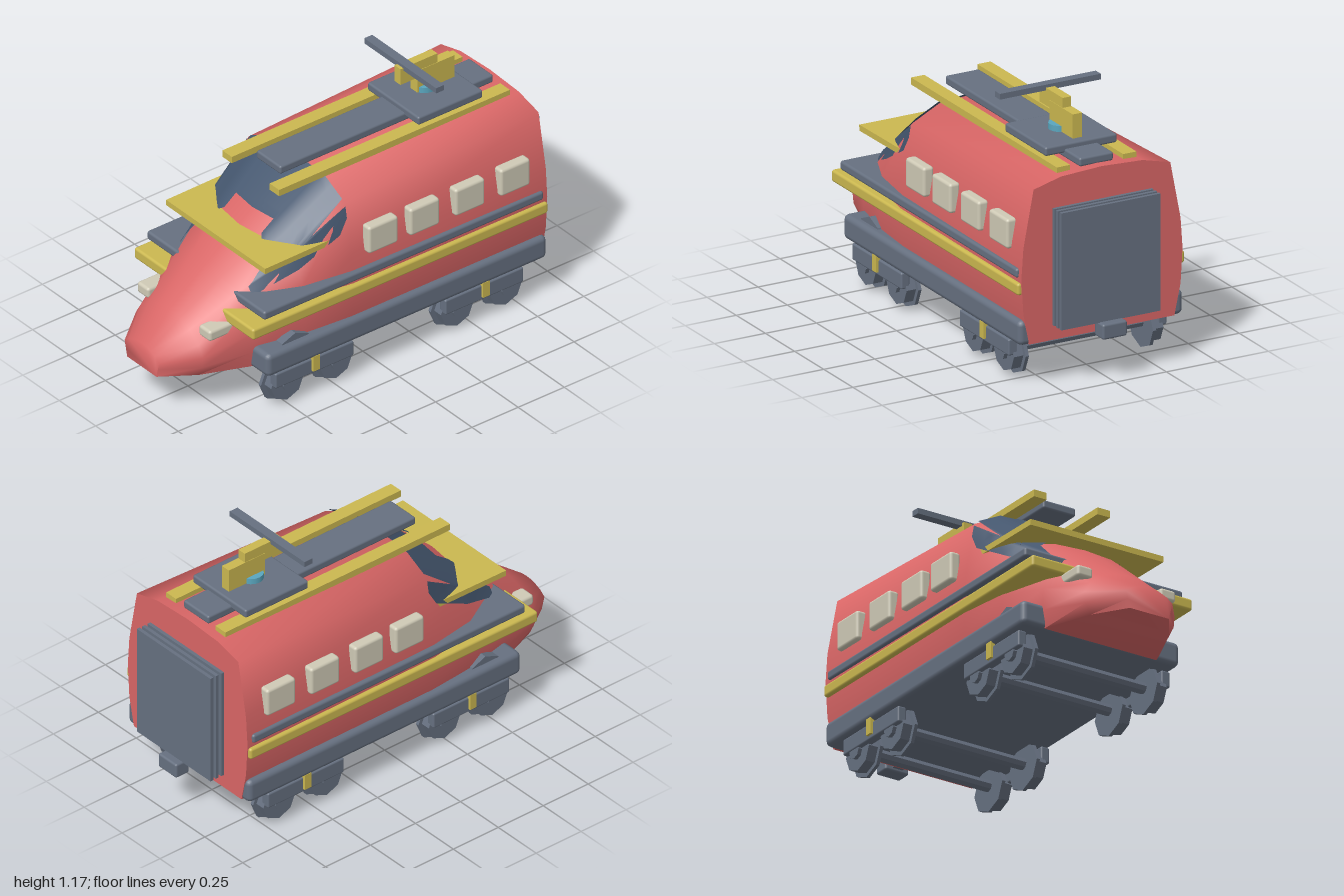
import * as THREE from 'three';
import { toCreasedNormals } from 'three/addons/utils/BufferGeometryUtils.js';
import { RoundedBoxGeometry } from 'three/addons/geometries/RoundedBoxGeometry.js';

const paint = (name, color, side = THREE.FrontSide) => {
  const m = new THREE.MeshStandardMaterial({ color, side });
  m.name = name;
  return m;
};

// Half cross-sections of the hull: z, then [x, y] from the sill up to the roof centre
const sections = [
  [-0.885, [[0.355, 0.2], [0.385, 0.34], [0.395, 0.5], [0.385, 0.64], [0.335, 0.9], [0.2, 0.935], [0, 0.945]]],
  [0.16, [[0.35, 0.2], [0.38, 0.33], [0.388, 0.47], [0.375, 0.62], [0.33, 0.86], [0.2, 0.925], [0, 0.94]]],
  [0.4, [[0.33, 0.2], [0.352, 0.3], [0.355, 0.42], [0.345, 0.54], [0.29, 0.68], [0.17, 0.75], [0, 0.765]]],
  [0.635, [[0.285, 0.2], [0.3, 0.28], [0.3, 0.38], [0.27, 0.47], [0.21, 0.545], [0.11, 0.585], [0, 0.595]]],
  [0.85, [[0.2, 0.2], [0.225, 0.25], [0.23, 0.3], [0.2, 0.35], [0.14, 0.4], [0.07, 0.425], [0, 0.432]]],
  [1, [[0.1, 0.2], [0.11, 0.24], [0.118, 0.275], [0.09, 0.297], [0.06, 0.31], [0.03, 0.318], [0, 0.32]]],
];
const { lerp } = THREE.MathUtils;

// Point on the hull at depth z and position u (0 = sill, 6 = roof centre)
function hullPoint(z, u) {
  let i = 0;
  while (i < sections.length - 2 && z > sections[i + 1][0]) i++;
  const [z0, a] = sections[i], [z1, b] = sections[i + 1];
  const t = (z - z0) / (z1 - z0), j = Math.min(5, Math.floor(u)), f = u - j;
  const at = (k) => lerp(lerp(a[j][k], a[j + 1][k], f), lerp(b[j][k], b[j + 1][k], f), t);
  return [at(0), at(1), z];
}

// Skin over rows of points; closed rows also get a floor and end caps
function loft(rows, closed) {
  const n = rows[0].length, index = [];
  for (let i = 0; i < rows.length - 1; i++) {
    for (let j = 0; j < (closed ? n : n - 1); j++) {
      const a = i * n + j, b = i * n + (j + 1) % n;
      index.push(a, b, a + n, b, b + n, a + n);
    }
  }
  if (closed) {
    const last = (rows.length - 1) * n;
    for (let j = 1; j < n - 1; j++) index.push(0, j + 1, j, last, last + j, last + j + 1);
  }
  const g = new THREE.BufferGeometry();
  g.setAttribute('position', new THREE.Float32BufferAttribute(rows.flat(2), 3));
  g.setIndex(index);
  return toCreasedNormals(g, 1.2);
}

const mirrorRow = (row) => [...row, ...row.slice(0, -1).reverse().map(([x, y, z]) => [-x, y, z])];

export function createModel() {
  const model = new THREE.Group();
  model.name = 'train';
  const red = paint('red', 0xd96666);
  const grey = paint('slate grey', 0x667080);
  const yellow = paint('yellow', 0xcbb850);
  const glass = paint('dark blue glass', 0x45576f, THREE.DoubleSide);
  const cream = paint('cream', 0xcfcab6);
  const cyan = paint('cyan', 0x5aa6be);

  const add = (name, geo, mat, parent = model) => {
    const m = new THREE.Mesh(geo, mat);
    m.name = name;
    parent.add(m);
    return m;
  };
  // Box given by its limits on each axis, with optional rounded edges
  const box = (name, mat, [x0, x1], [y0, y1], [z0, z1], r = 0, parent = model) => {
    const s = [x1 - x0, y1 - y0, z1 - z0];
    const m = add(name, r ? new RoundedBoxGeometry(...s, 2, r) : new THREE.BoxGeometry(...s), mat, parent);
    m.position.set((x0 + x1) / 2, (y0 + y1) / 2, (z0 + z1) / 2);
    return m;
  };
  const rod = (name, mat, r, length, x, y, z, parent, sides = 8) => {
    const g = toCreasedNormals(new THREE.CylinderGeometry(r, r, length, sides).rotateZ(Math.PI / 2), 0.6);
    const m = add(name, g, mat, parent);
    m.position.set(x, y, z);
    return m;
  };

  // Hull
  add('hull', loft(sections.map(([z, p]) => mirrorRow(p.map(([x, y]) => [x, y, z]))), true), red);

  // Windshield: u, start z, end z
  const outline = [
    [3.5, 0.2, 0.6], [3.7, 0.16, 0.6], [3.93, 0.16, 0.6], [4, 0.32, 0.58], [4.15, 0.16, 0.55],
    [4.4, 0.16, 0.49], [4.7, 0.16, 0.48], [5, 0.16, 0.47], [5.2, 0.16, 0.45], [5.26, 0.16, 0.385], [6, 0.16, 0.4],
  ];
  const rows = [];
  for (let i = 0; i <= 12; i++) {
    rows.push(mirrorRow(outline.map(([u, a, b]) => {
      const [x, y, z] = hullPoint(lerp(a, b, i / 12), u);
      return [x * 1.012, y + 0.006, z + 0.003];
    })));
  }
  add('windshield', loft(rows, false), glass);

  // Bands that run through the hull and stand proud of it
  box('skirt', grey, [-0.403, 0.403], [0.195, 0.308], [-0.882, 0.635], 0.025);
  box('yellowBand', yellow, [-0.41, 0.41], [0.427, 0.482], [-0.88, 0.72], 0.012);
  box('greyBand', grey, [-0.405, 0.405], [0.5, 0.543], [-0.86, 0.655], 0.012);
  box('visor', yellow, [-0.34, 0.34], [0.686, 0.713], [0.18, 0.6]).rotation.x = 0.012;

  // Side windows, headlights and roof rails
  for (const s of [-1, 1]) {
    const side = (a, b) => (s > 0 ? [a, b] : [-b, -a]);
    for (const z of [0.01, -0.215, -0.46, -0.705]) {
      box('sideWindow', cream, side(0.355, 0.408), [0.608, 0.743], [z - 0.08, z + 0.08], 0.014);
    }
    box('headlight', cream, side(0.172, 0.252), [0.382, 0.435], [0.69, 0.83], 0.014);
    box('roofRail', yellow, side(0.13, 0.195), [0.928, 0.96], [-0.84, 0.41]);
  }

  // Roof equipment
  box('roofSpine', grey, [-0.083, 0.083], [0.94, 0.98], [-0.84, 0.315], 0.01);
  box('roofPlatform', grey, [-0.176, 0.176], [0.962, 1.003], [-0.71, -0.36], 0.01);
  const pivot = add('pivot', new THREE.CylinderGeometry(0.053, 0.053, 0.04, 16), cyan);
  pivot.position.set(0, 1.01, -0.53);
  box('lowerArm', yellow, [-0.023, 0.023], [1.005, 1.115], [-0.675, -0.475]);
  box('upperArm', yellow, [-0.021, 0.021], [1.08, 1.16], [-0.585, -0.385]);
  box('contactBar', grey, [-0.247, 0.247], [1.148, 1.174], [-0.443, -0.4]);

  // Rear gangway bellows and coupler
  box('bellowsCore', grey, [-0.225, 0.225], [0.285, 0.785], [-0.95, -0.87]);
  for (const z of [-0.895, -0.925, -0.955]) {
    box('bellowsFrame', grey, [-0.243, 0.243], [0.268, 0.8], [z - 0.008, z + 0.008]);
  }
  box('couplerBar', grey, [-0.025, 0.025], [0.215, 0.255], [-0.94, -0.87]);
  box('coupler', grey, [-0.06, 0.06], [0.2, 0.27], [-1, -0.925], 0.01);

  // Bogies
  for (const zc of [0.368, -0.552]) {
    const bogie = new THREE.Group();
    bogie.name = 'bogie';
    bogie.position.z = zc;
    model.add(bogie);
    box('crossBeam', grey, [-0.34, 0.34], [0.152, 0.196], [-0.05, 0.05], 0, bogie);
    for (const dz of [-0.132, 0.132]) {
      rod('axle', grey, 0.027, 0.62, 0, 0.12, dz, bogie);
      for (const s of [-1, 1]) {
        rod('wheelFlange', grey, 0.107, 0.016, s * 0.312, 0.107, dz, bogie);
        rod('wheelTread', grey, 0.088, 0.048, s * 0.342, 0.107, dz, bogie);
        rod('hub', grey, 0.035, 0.02, s * 0.374, 0.107, dz, bogie);
      }
    }
    for (const s of [-1, 1]) {
      const side = (a, b) => (s > 0 ? [a, b] : [-b, -a]);
      box('sideFrame', grey, side(0.345, 0.388), [0.113, 0.188], [-0.212, 0.212], 0.008, bogie);
      box('suspension', yellow, side(0.38, 0.4), [0.13, 0.205], [-0.018, 0.018], 0, bogie);
    }
  }

  // Wheel arch bumps above the front bogie
  for (const s of [-1, 1]) rod('archBump', grey, 0.1, 0.04, s * 0.35, 0.243, 0.46, model);

  return model;
}
